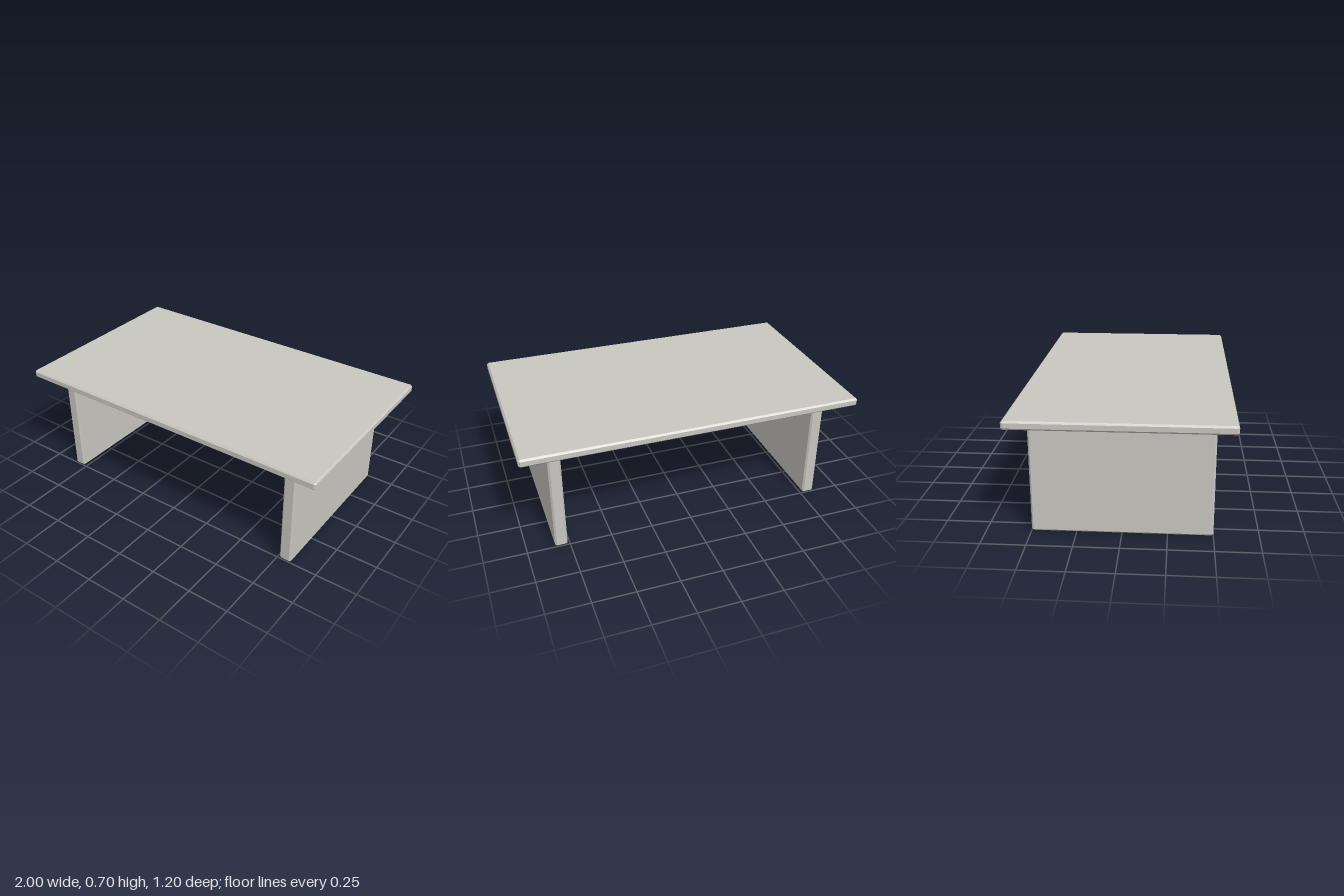
import * as THREE from 'three';
import { ConvexGeometry } from 'three/addons/geometries/ConvexGeometry.js';

// Box with every edge chamfered by c: three corner points per corner
function chamferBox(w, h, d, c) {
  const points = [];
  const [x, y, z] = [w / 2, h / 2, d / 2];
  for (const sx of [-1, 1]) for (const sy of [-1, 1]) for (const sz of [-1, 1]) {
    points.push(
      new THREE.Vector3(sx * x, sy * (y - c), sz * (z - c)),
      new THREE.Vector3(sx * (x - c), sy * y, sz * (z - c)),
      new THREE.Vector3(sx * (x - c), sy * (y - c), sz * z),
    );
  }
  return new ConvexGeometry(points);
}

export function createModel() {
  const model = new THREE.Group();
  model.name = 'table';
  const stone = new THREE.MeshStandardMaterial({ color: 0xc8c6bf });
  stone.name = 'pale stone';

  const legHeight = 0.65, topThickness = 0.048, chamfer = 0.01;

  // Table top
  const top = new THREE.Mesh(chamferBox(2, topThickness, 1.2, chamfer), stone);
  top.name = 'tableTop';
  top.position.y = legHeight + topThickness / 2;
  model.add(top);

  // Slab legs, one at each end
  const legGeometry = chamferBox(0.074, legHeight, 1, chamfer);
  for (const side of [-1, 1]) {
    const leg = new THREE.Mesh(legGeometry, stone);
    leg.name = side > 0 ? 'leftLeg' : 'rightLeg';
    leg.position.set(side * 0.8, legHeight / 2, 0);
    model.add(leg);
  }
  return model;
}
